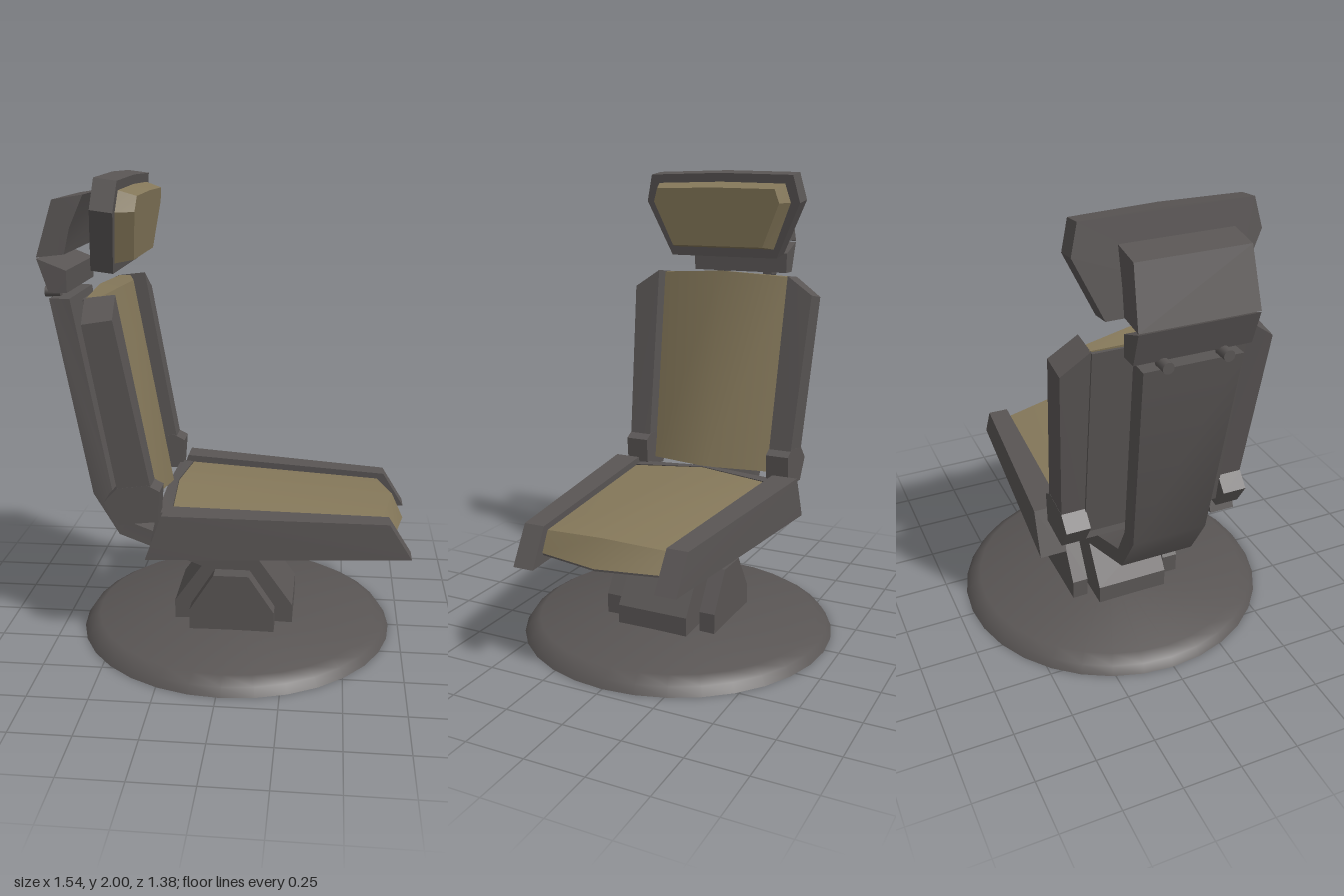
import * as THREE from 'three';
import { toCreasedNormals } from 'three/addons/utils/BufferGeometryUtils.js';

// Double-sided because the floor base is an open shell
const frame = new THREE.MeshStandardMaterial({ color: 0x595554, side: THREE.DoubleSide });
frame.name = 'charcoal frame';
const pad = new THREE.MeshStandardMaterial({ color: 0x85785a });
pad.name = 'tan upholstery';

// Closed solid through rings of [x, y, z]; caps are triangulated in the plane across the given axis
function loft(rings, axis = 'z') {
  const tris = [];
  const n = rings[0].length;
  for (let r = 0; r < rings.length - 1; r++) {
    for (let i = 0; i < n; i++) {
      const j = (i + 1) % n;
      const [a, b, c, d] = [rings[r][i], rings[r][j], rings[r + 1][j], rings[r + 1][i]];
      tris.push([a, b, c], [a, c, d]);
    }
  }
  const flat = rings[0].map((p) => new THREE.Vector2(axis === 'z' ? p[0] : p[2], p[1]));
  const clockwise = THREE.ShapeUtils.isClockWise(flat);
  const last = rings[rings.length - 1];
  for (const [i, j, k] of THREE.ShapeUtils.triangulateShape(flat, [])) {
    // Order each cap triangle the same way round as the outline
    const same = (THREE.ShapeUtils.area([flat[i], flat[j], flat[k]]) < 0) === clockwise;
    const [u, v, w] = same ? [i, j, k] : [i, k, j];
    tris.push([rings[0][u], rings[0][w], rings[0][v]], [last[u], last[v], last[w]]);
  }
  // Turn the whole solid outward if its volume is negative
  const V = (p) => new THREE.Vector3(...p);
  const volume = tris.reduce((s, [a, b, c]) => s + V(a).dot(V(b).cross(V(c))), 0);
  const points = tris.flatMap(([a, b, c]) => (volume < 0 ? [a, c, b] : [a, b, c]));
  const geo = new THREE.BufferGeometry();
  geo.setAttribute('position', new THREE.Float32BufferAttribute(points.flat(), 3));
  return toCreasedNormals(geo, 0.55);
}

// Side profile of [x, y, zInner, zOuter] points, or of [x, y, halfWidth] points across the middle
const slab = (pts) => loft([pts.map(([x, y, a]) => [x, y, a]), pts.map(([x, y, , b]) => [x, y, b])]);
const centred = (pts) => slab(pts.map(([x, y, w]) => [x, y, -w, w]));
const mirrorZ = (pts) => pts.map(([x, y, a, b]) => [x, y, -a, -b]);
const atZ = (pts, s) => pts.map(([x, y, z]) => [x, y, z * s]);

export function createModel() {
  const model = new THREE.Group();
  const add = (name, geo, mat = frame) => {
    const mesh = new THREE.Mesh(geo, mat);
    mesh.name = name;
    model.add(mesh);
    return mesh;
  };
  const pair = (name, pts) => {
    add(name + 'Left', slab(pts));
    add(name + 'Right', slab(mirrorZ(pts)));
  };

  // Round floor base, a shell open underneath
  const rim = [[0.688, 0], [0.665, 0.035], [0.62, 0.062], [0.09, 0.08]]
    .map(([x, y]) => new THREE.Vector2(x, y));
  const base = add('base', toCreasedNormals(new THREE.LatheGeometry(rim, 32), 0.6));
  base.position.x = 0.019;

  // Pedestal and the bent spine rising behind the back
  add('spine', centred([
    [-0.24, 0.07], [-0.24, 0.155], [-0.12, 0.325], [-0.48, 0.46], [-0.59, 0.645], [-0.735, 1.5, 0.2],
    [-0.65, 1.5, 0.2], [-0.505, 0.65], [-0.44, 0.52], [-0.09, 0.387], [0.113, 0.387], [0.278, 0.155], [0.278, 0.07],
  ].map(([x, y, w = 0.162]) => [x, y, w])));
  pair('pedestalCheek', [
    [-0.163, 0.07], [-0.163, 0.16], [-0.058, 0.325], [0.093, 0.325], [0.203, 0.16], [0.203, 0.07],
  ].map(([x, y]) => [x, y, 0.19, 0.26]));

  // Neck block, hinge knobs and headrest shell on top of the spine
  add('neckBlock', centred([[-0.77, 1.667, 0.237], [-0.65, 1.62, 0.237], [-0.65, 1.53, 0.235], [-0.725, 1.53, 0.235]]));
  for (const z of [-0.12, 0.12]) {
    const knob = add('hingeKnob', new THREE.CylinderGeometry(0.023, 0.023, 0.065, 12));
    knob.rotation.z = Math.PI / 2;
    knob.position.set(-0.737, 1.518, z);
  }
  add('headrestShell', centred([
    [-0.77, 1.672, 0.238], [-0.7, 1.9, 0.226], [-0.573, 1.92, 0.226], [-0.63, 1.79, 0.235], [-0.655, 1.685, 0.238],
  ]));

  // Headrest plate and cushion, leaning back slightly
  const headRing = (outline, x, dy = 0) => [
    ...outline,
    ...outline.slice().reverse().filter(([z]) => z > 0).map(([z, y]) => [-z, y]),
  ].map(([z, y]) => [x + 0.12 * (y - 1.61), y + dy, z]);
  const plate = [[0.26, 1.613], [0.375, 1.86], [0.345, 1.98], [0, 1.988]];
  add('headrestPlate', loft([headRing(plate, -0.544, 0.012), headRing(plate, -0.453)], 'x'));
  add('headrestCushion', loft([
    headRing([[0.25, 1.652], [0.335, 1.86], [0.31, 1.945], [0, 1.952]], -0.46),
    headRing([[0.22, 1.665], [0.305, 1.86], [0.285, 1.92], [0, 1.925]], -0.381),
  ], 'x'), pad);

  // Backrest side rails with sloped tops, and their feet
  const railIn = [[-0.558, 1.525, 0.322], [-0.433, 1.54, 0.322], [-0.291, 0.75, 0.303], [-0.43, 0.74, 0.303]];
  const railOut = [[-0.546, 1.44, 0.44], [-0.423, 1.46, 0.44], [-0.291, 0.75, 0.405], [-0.43, 0.74, 0.405]];
  for (const [side, s] of [['Left', 1], ['Right', -1]]) {
    add('backRail' + side, loft([atZ(railIn, s), atZ(railOut, s)]));
  }
  pair('backRailFoot', [
    [-0.488, 0.7], [-0.433, 0.76], [-0.307, 0.778], [-0.257, 0.752], [-0.267, 0.622], [-0.428, 0.603],
  ].map(([x, y]) => [x, y, 0.302, 0.407]));

  // Back cushion, swelling forward along its middle, with a hard panel behind
  const backEdge = [[-0.55, 1.525, 0.325], [-0.5, 1.527, 0.325], [-0.345, 0.65, 0.303], [-0.41, 0.64, 0.303]];
  const backMid = [[-0.565, 1.535, 0], [-0.422, 1.552, 0], [-0.262, 0.66, 0], [-0.41, 0.64, 0]];
  add('backCushion', loft([atZ(backEdge, -1), backMid, atZ(backEdge, 1)]), pad);
  add('backPanel', centred([[-0.566, 1.52, 0.322], [-0.54, 1.52, 0.322], [-0.4, 0.636, 0.303], [-0.424, 0.636, 0.303]]));

  // Seat side rails, closer together toward the front
  pair('seatRail', [
    [-0.315, 0.475, 0.345, 0.46], [-0.245, 0.667, 0.34, 0.457],
    [0.675, 0.627, 0.272, 0.362], [0.77, 0.475, 0.267, 0.358],
  ]);

  // Seat cushion with a pointed front edge, and the tray beneath it
  const seatEdge = [[-0.218, 0.635, 0.342], [0.645, 0.602, 0.275], [0.695, 0.522, 0.27], [-0.27, 0.522, 0.345]];
  const seatMid = [[-0.238, 0.662, 0], [0.7, 0.632, 0], [0.75, 0.522, 0], [-0.27, 0.522, 0]];
  add('seatCushion', loft([atZ(seatEdge, -1), seatMid, atZ(seatEdge, 1)]), pad);
  const trayEdge = [[-0.31, 0.51, 0.346], [-0.28, 0.64, 0.344], [-0.22, 0.638, 0.342], [-0.26, 0.523, 0.345],
    [0.69, 0.523, 0.271], [0.69, 0.512, 0.27]];
  const trayMid = [[-0.31, 0.51, 0], [-0.28, 0.66, 0], [-0.24, 0.664, 0], [-0.26, 0.523, 0],
    [0.745, 0.523, 0], [0.745, 0.512, 0]];
  add('seatTray', loft([atZ(trayEdge, -1), trayMid, atZ(trayEdge, 1)]));

  return model;
}
